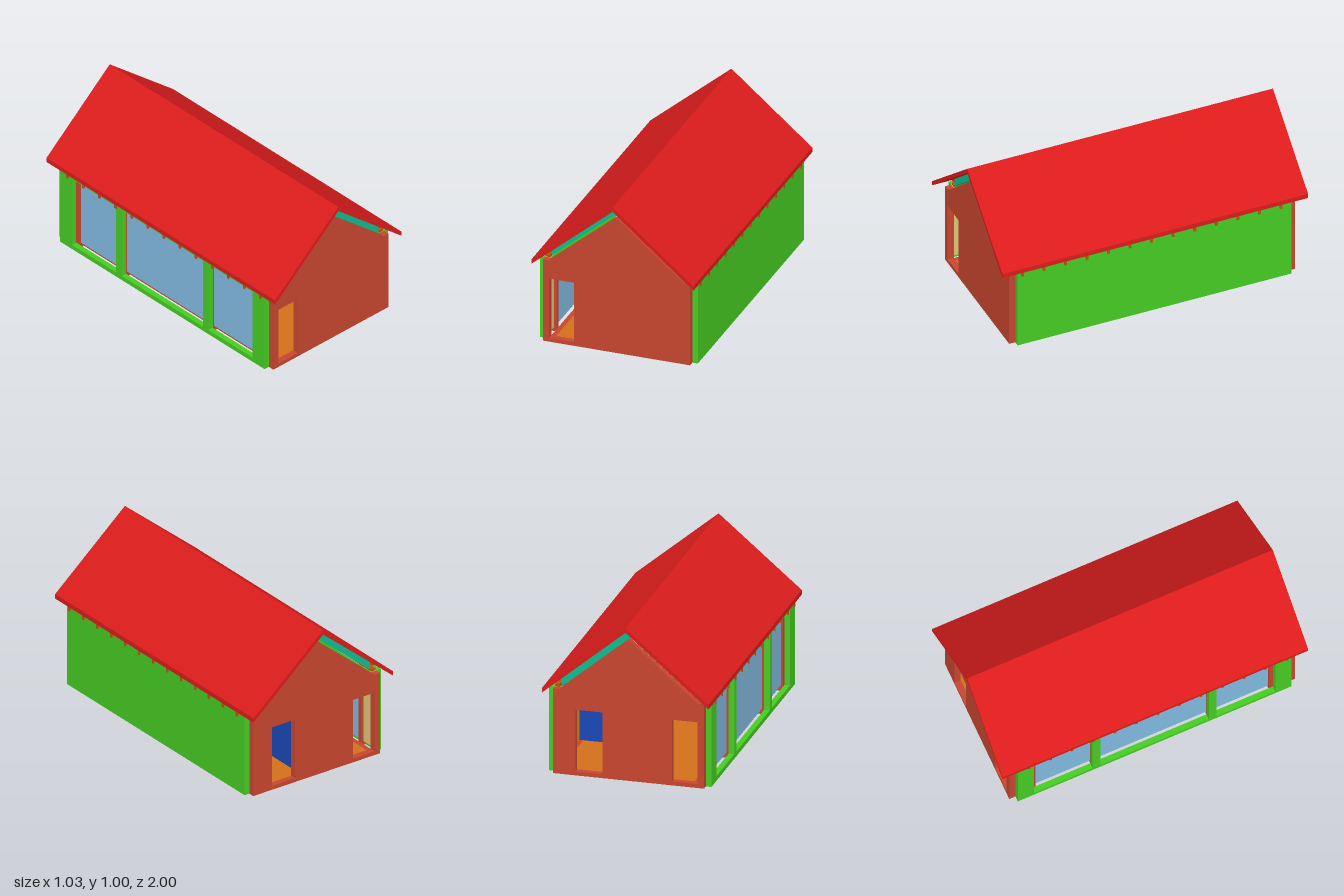
import * as THREE from 'three';

const SLOPE = 0.841;
const mat = (color) => new THREE.MeshStandardMaterial({ color, flatShading: true });
const M = {
  roof: mat(0xdc1c1c), wall: mat(0xc8462f), green: mat(0x46cc23), teal: mat(0x0fbc90),
  wood: mat(0xb4580f), floor: mat(0xd2701b), lining: mat(0xdf8b0e), tan: mat(0xe2c678),
  glass: mat(0x82bae0), blue: mat(0x1a48b8), grey: mat(0xcccccc),
};

export function createModel() {
  const house = new THREE.Group();
  house.name = 'house';

  // Box given by its minimum and maximum on each axis
  const box = (name, m, [x0, x1], [y0, y1], [z0, z1]) => {
    const mesh = new THREE.Mesh(new THREE.BoxGeometry(x1 - x0, y1 - y0, z1 - z0), m);
    mesh.position.set((x0 + x1) / 2, (y0 + y1) / 2, (z0 + z1) / 2);
    mesh.name = name;
    house.add(mesh);
  };
  // Outline in x, y (with rectangular holes) extruded from z0 to z1
  const prism = (name, m, pts, z0, z1, holes = []) => {
    const shape = new THREE.Shape(pts.map(([x, y]) => new THREE.Vector2(x, y)));
    for (const [a, b, c, d] of holes) {
      shape.holes.push(new THREE.Path([[a, c], [a, d], [b, d], [b, c]].map(([x, y]) => new THREE.Vector2(x, y))));
    }
    const geo = new THREE.ExtrudeGeometry(shape, { depth: z1 - z0, bevelEnabled: false });
    const mesh = new THREE.Mesh(geo, m);
    mesh.position.z = z0;
    mesh.name = name;
    house.add(mesh);
  };
  // Band that follows the roof slope on one side, between two ridge heights
  const slopeBand = (name, m, side, x0, x1, top, bottom, z0, z1) => prism(name, m, [
    [side * x0, top - SLOPE * x0], [side * x1, top - SLOPE * x1],
    [side * x1, bottom - SLOPE * x1], [side * x0, bottom - SLOPE * x0],
  ], z0, z1);

  // Roof covering
  const E = 0.517;
  prism('roof', M.roof, [
    [0, 1], [-E, 1 - SLOPE * E], [-E, 0.97 - SLOPE * E], [0, 0.97], [E, 0.97 - SLOPE * E], [E, 1 - SLOPE * E],
  ], -1, 1);

  // Roof insulation, thinner on the window side with a lining strip below
  slopeBand('roofInsulation', M.teal, 1, 0, 0.43, 0.97, 0.897, -0.89, 0.89);
  slopeBand('roofInsulation', M.teal, -1, 0, 0.43, 0.97, 0.917, -0.89, 0.89);
  slopeBand('roofLining', M.green, -1, 0.03, 0.43, 0.908, 0.898, -0.89, 0.89);

  // Rafter tails and wall plates on both eaves
  for (const side of [-1, 1]) {
    for (let i = 0; i < 13; i++) {
      const z = 0.865 - i * 0.1408;
      slopeBand('rafterTail', M.wood, side, 0.43, 0.514, 0.97, 0.938, z - 0.008, z + 0.008);
    }
    const xs = side > 0 ? [0.44, 0.47] : [-0.47, -0.44];
    box('wallPlate', M.wood, xs, [0.54, 0.555], [-0.89, 0.89]);
  }

  // Gable walls with door openings
  const gable = [[-0.47, 0], [0.47, 0], [0.47, 0.54], [0.43, 0.54], [0, 0.9], [-0.43, 0.54], [-0.47, 0.54]];
  const sideDoor = [-0.43, -0.27, 0.025, 0.42];
  prism('frontGable', M.wall, gable, 0.895, 0.935, [sideDoor]);
  prism('backGable', M.wall, gable, -0.935, -0.895, [sideDoor, [0.16, 0.33, 0.025, 0.42]]);

  // Floor and edge beams
  box('floor', M.floor, [-0.4, 0.43], [0, 0.025], [-0.895, 0.895]);
  box('floorBeam', M.wall, [0.43, 0.47], [0, 0.025], [-0.895, 0.895]);
  box('floorBeam', M.wall, [-0.43, -0.4], [0, 0.025], [-0.895, 0.895]);

  // Closed long wall
  box('solidWall', M.green, [0.47, 0.505], [0, 0.54], [-0.895, 0.895]);
  box('solidWallLining', M.lining, [0.455, 0.47], [0.025, 0.54], [-0.895, 0.895]);

  // Glazed long wall: rails, end panels, posts
  const outer = [-0.505, -0.47];
  box('bottomRail', M.green, outer, [0, 0.03], [-0.79, 0.79]);
  box('topRail', M.green, outer, [0.515, 0.54], [-0.79, 0.79]);
  for (const s of [-1, 1]) {
    const span = (a, b) => (s > 0 ? [a, b] : [-b, -a]);
    box('endPanel', M.green, outer, [0, 0.54], span(0.79, 0.895));
    box('endPanelLining', M.tan, [-0.47, -0.455], [0.025, 0.54], span(0.79, 0.895));
    box('windowPost', M.green, outer, [0, 0.54], span(0.355, 0.405));
    box('innerPost', M.wall, [-0.47, -0.43], [0, 0.54], span(0.36, 0.4));
    box('endPost', M.wall, [-0.47, -0.435], [0, 0.54], span(0.765, 0.79));
    box('sideWindow', M.glass, [-0.455, -0.445], [0.035, 0.47], span(0.4, 0.765));
  }
  box('middleWindow', M.glass, [-0.455, -0.445], [0.035, 0.47], [-0.36, 0.36]);

  // Small back room and ceiling
  box('roomWall', M.blue, [0.08, 0.1], [0.025, 0.5], [-0.895, -0.4]);
  box('roomCrossWall', M.blue, [0.1, 0.455], [0.025, 0.5], [-0.42, -0.4]);
  box('ceiling', M.grey, [-0.4, 0.455], [0.5, 0.51], [-0.895, 0.895]);

  return house;
}
